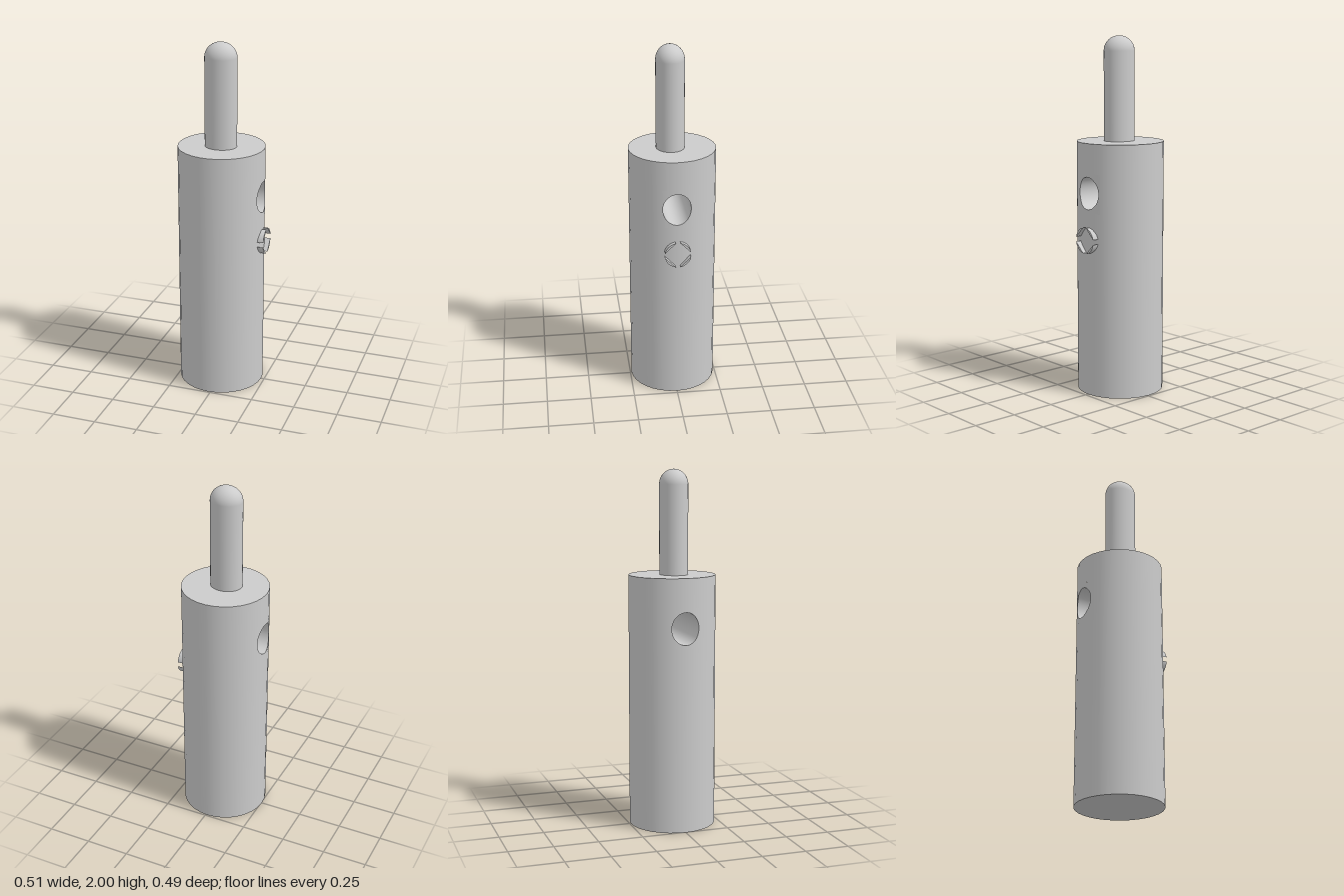
import * as THREE from 'three';

const R = 0.243, H = 1.42, SIDES = 32, STEP = Math.PI * 2 / SIDES;
const HOLE = { y: 1.145, ry: 0.09, rz: 0.078 };
const BAND = 0.11;            // half height of the wall band around the hole
const HALF = STEP * 2;        // half angle of the wall patch around the hole
const N = 64;                 // points around the hole

const material = new THREE.MeshStandardMaterial({ color: 0xcccccc });

function add(parent, name, geometry) {
  const mesh = new THREE.Mesh(geometry, material);
  mesh.name = name;
  parent.add(mesh);
  return mesh;
}

// Radius of the many-sided wall at angle a from +x
function wallRadius(a) {
  const off = a - (Math.floor(a / STEP) + 0.5) * STEP;
  return R * Math.cos(STEP / 2) / Math.cos(off);
}

// Joins closed loops of N points into a surface
function loft(loops) {
  const index = [];
  for (let i = 0; i < loops.length - 1; i++) {
    for (let j = 0; j < N; j++) {
      const k = (j + 1) % N, a = i * N, b = a + N;
      index.push(a + j, a + k, b + k, a + j, b + k, b + j);
    }
  }
  const geometry = new THREE.BufferGeometry();
  geometry.setAttribute('position', new THREE.Float32BufferAttribute(loops.flat(2), 3));
  geometry.setIndex(index);
  geometry.computeVertexNormals();
  return geometry;
}

// Loop on the +x wall, from the patch border (t = 0) to the hole rim (t = 1)
function wallLoop(t) {
  return Array.from({ length: N }, (_, j) => {
    const c = Math.cos(j / N * Math.PI * 2), s = Math.sin(j / N * Math.PI * 2);
    const m = Math.max(Math.abs(c), Math.abs(s));
    const a = THREE.MathUtils.lerp(HALF * c / m, Math.asin(HOLE.rz * c / R), t);
    const y = THREE.MathUtils.lerp(BAND * s / m, HOLE.ry * s, t);
    const r = wallRadius(a);
    return [r * Math.cos(a), HOLE.y + y, -r * Math.sin(a)];
  });
}

// Wall patch with the hole, with normals pointing out from the axis
function wallPatch() {
  const geometry = loft([0, 0.25, 0.5, 0.75, 1].map(wallLoop));
  const p = geometry.attributes.position, n = geometry.attributes.normal;
  for (let i = 0; i < p.count; i++) {
    const d = Math.hypot(p.getX(i), p.getZ(i));
    n.setXYZ(i, p.getX(i) / d, 0, p.getZ(i) / d);
  }
  return geometry;
}

function createBody() {
  const body = new THREE.Group();
  body.name = 'body';
  const wall = (name, y0, y1, sides, start) => {
    const g = new THREE.CylinderGeometry(R, R, y1 - y0, sides, 1, true, start, sides * STEP);
    add(body, name, g).position.y = (y0 + y1) / 2;
  };
  wall('lowerWall', 0, HOLE.y - BAND, SIDES, 0);
  wall('upperWall', HOLE.y + BAND, H, SIDES, 0);

  // Band at hole height: a plain arc and a pierced patch on each side
  for (const turn of [0, Math.PI]) {
    wall('bandWall', HOLE.y - BAND, HOLE.y + BAND, SIDES / 2 - 4, Math.PI / 2 + HALF + turn);
    add(body, 'piercedWall', wallPatch()).rotation.y = turn;
  }

  // Inside of the cross hole
  const rim = wallLoop(1);
  add(body, 'crossHole', loft([rim, rim.map(([x, y, z]) => [-x, y, z])]));

  // End faces
  const cap = new THREE.CircleGeometry(R, SIDES);
  const top = add(body, 'topFace', cap);
  top.rotation.x = -Math.PI / 2;
  top.position.y = H;
  add(body, 'bottomFace', cap).rotation.x = Math.PI / 2;

  body.position.x = -0.012;
  return body;
}

// Slightly oval pin with a domed tip
function createPin() {
  const pin = new THREE.Group();
  pin.name = 'pin';
  const shaftTop = 1.917;
  const shaft = new THREE.CylinderGeometry(1, 1, shaftTop - H, 48, 1, true);
  add(pin, 'pinShaft', shaft.scale(0.09, 1, 0.079)).position.y = (H + shaftTop) / 2;
  const dome = new THREE.SphereGeometry(1, 48, 16, 0, Math.PI * 2, 0, Math.PI / 2);
  add(pin, 'pinTip', dome.scale(0.09, 2 - shaftTop, 0.079)).position.y = shaftTop;
  pin.position.set(-0.013, 0, 0.01);
  return pin;
}

// Screw head split into four quarters by a cross slot
function createScrew() {
  const screw = new THREE.Group();
  screw.name = 'screwHead';
  const r = 0.073, gap = 0.0135, a = Math.asin(gap / r);
  const quarter = new THREE.Shape();
  quarter.moveTo(gap, gap);
  quarter.absarc(0, 0, r, a, Math.PI / 2 - a, false);
  quarter.closePath();
  for (let k = 0; k < 4; k++) {
    const g = new THREE.ExtrudeGeometry(quarter, { depth: 0.063, bevelEnabled: false, curveSegments: 12 });
    add(screw, 'screwQuarter', g.rotateZ(k * Math.PI / 2).rotateY(Math.PI / 2));
  }
  screw.position.set(0.191, 0.884, -0.002);
  return screw;
}

export function createModel() {
  const model = new THREE.Group();
  model.name = 'plugPin';
  model.add(createBody(), createPin(), createScrew());
  return model;
}
